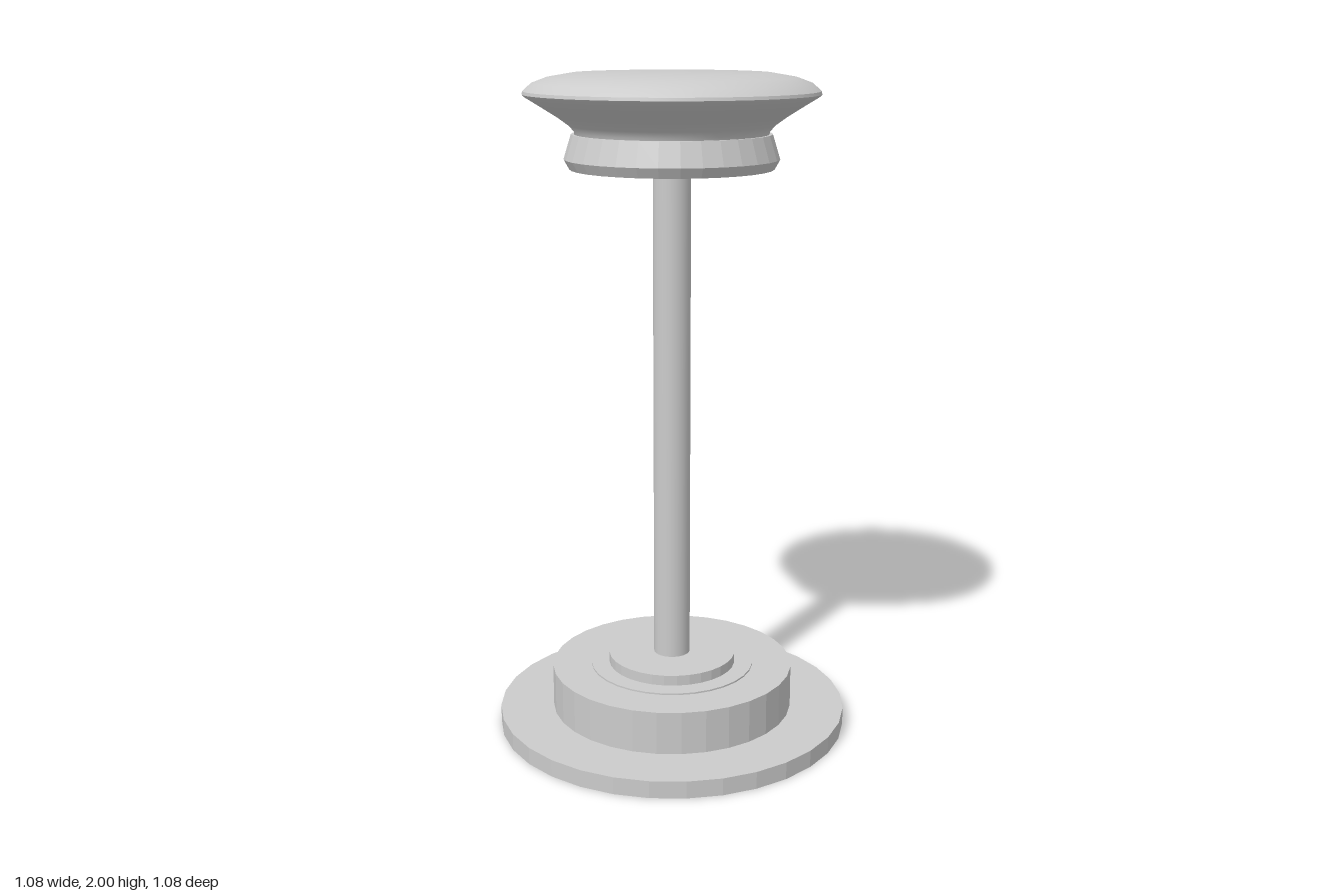
import * as THREE from 'three';
import { toCreasedNormals } from 'three/addons/utils/BufferGeometryUtils.js';

const SEGMENTS = 32;
const smooth = new THREE.MeshStandardMaterial({ color: 0xcccccc });
const faceted = new THREE.MeshStandardMaterial({ color: 0xcccccc, flatShading: true });

export function createModel() {
  const group = new THREE.Group();

  const add = (name, geometry, material) => {
    const mesh = new THREE.Mesh(geometry, material);
    mesh.name = name;
    group.add(mesh);
  };

  const disc = (name, radius, bottom, top, material = faceted) => {
    const geometry = new THREE.CylinderGeometry(radius, radius, top - bottom, SEGMENTS);
    geometry.translate(0, (bottom + top) / 2, 0);
    add(name, geometry, material);
  };

  const turned = (name, profile, segments, material) => {
    const points = profile.map(([r, y]) => new THREE.Vector2(r, y));
    const geometry = new THREE.LatheGeometry(points, segments);
    add(name, material === smooth ? toCreasedNormals(geometry, 0.6) : geometry, material);
  };

  // Stepped base
  disc('basePlate', 0.54, 0, 0.053);
  disc('baseDrum', 0.374, 0.053, 0.185);
  disc('baseWasher', 0.253, 0.185, 0.19);
  disc('poleCollar', 0.197, 0.19, 0.222);

  // Pole
  disc('pole', 0.056, 0.222, 1.735, smooth);

  // Faceted band under the seat
  turned('seatBand', [
    [0, 1.728], [0.298, 1.728], [0.314, 1.757], [0.292, 1.828], [0, 1.828],
  ], SEGMENTS, faceted);

  // Flared seat with a thin rim and a shallow domed top
  turned('seat', [
    [0.28, 1.815], [0.283, 1.835], [0.297, 1.852], [0.33, 1.876], [0.376, 1.905],
    [0.425, 1.935], [0.43, 1.941], [0.428, 1.95],
    [0.403, 1.972], [0.36, 1.988], [0.29, 2], [0, 2],
  ], 64, smooth);

  return group;
}
